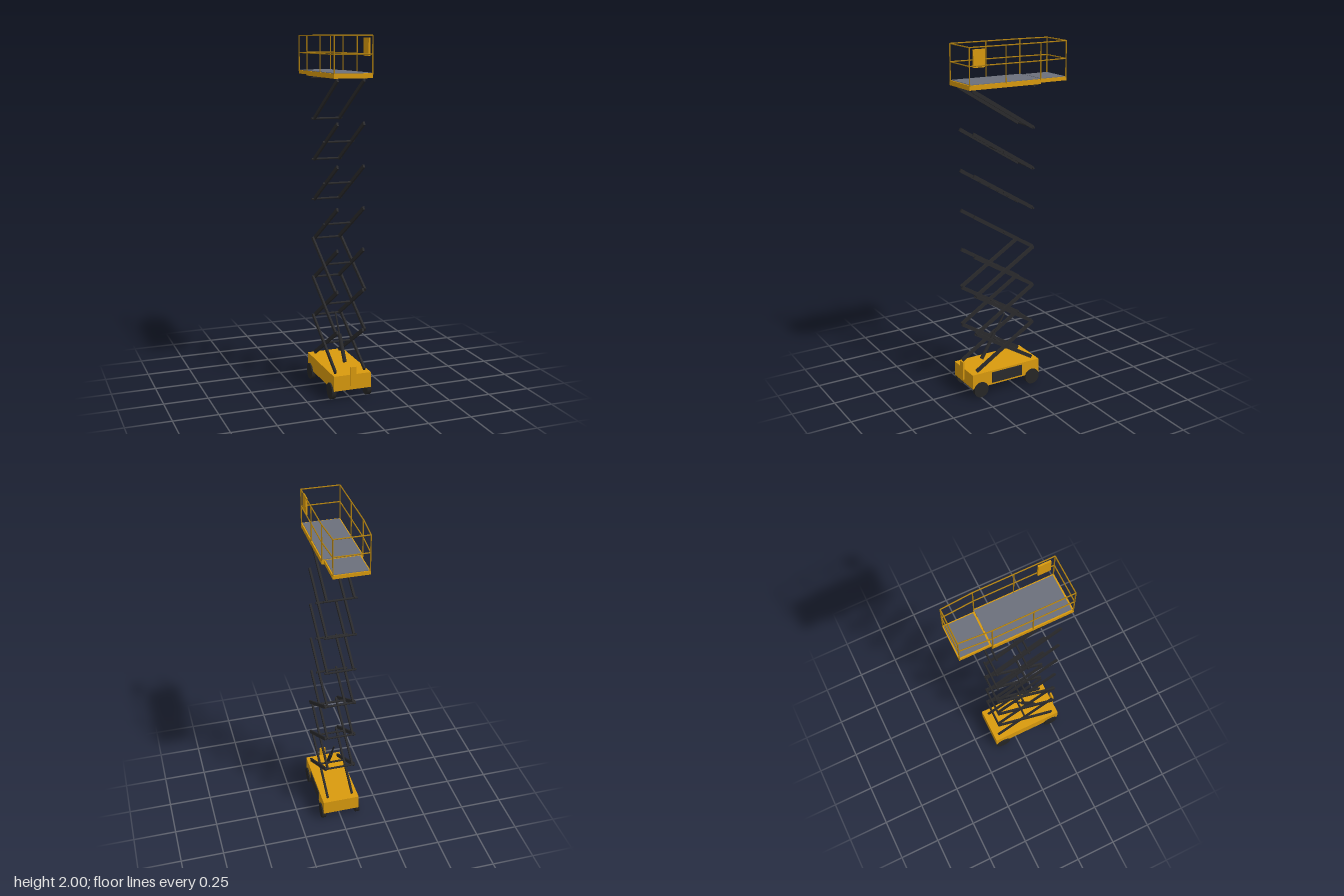
import * as THREE from 'three';

const mat = (name, color) => {
  const m = new THREE.MeshStandardMaterial({ color });
  m.name = name;
  return m;
};

export function createModel() {
  const yellow = mat('safety yellow', 0xd99a0e);
  const railGold = mat('rail gold', 0xb08010);
  const deckGrey = mat('deck grey', 0x6b707b);
  const steel = mat('dark steel', 0x2a2a2c);
  const rubber = mat('tyre black', 0x262626);

  const model = new THREE.Group();
  model.name = 'scissorLift';

  // Box given by its lower and upper limits
  const box = (parent, name, m, [x0, x1], [y0, y1], [z0, z1]) => {
    const mesh = new THREE.Mesh(new THREE.BoxGeometry(x1 - x0, y1 - y0, z1 - z0), m);
    mesh.position.set((x0 + x1) / 2, (y0 + y1) / 2, (z0 + z1) / 2);
    mesh.name = name;
    parent.add(mesh);
    return mesh;
  };
  // Round bar between two points
  const bar = (parent, name, m, a, b, r, sides = 8) => {
    const p = new THREE.Vector3(...a), q = new THREE.Vector3(...b);
    const d = q.clone().sub(p);
    const mesh = new THREE.Mesh(new THREE.CylinderGeometry(r, r, d.length(), sides), m);
    mesh.position.copy(p).add(q).multiplyScalar(0.5);
    mesh.quaternion.setFromUnitVectors(new THREE.Vector3(0, 1, 0), d.normalize());
    mesh.name = name;
    parent.add(mesh);
  };
  const group = (name) => {
    const g = new THREE.Group();
    g.name = name;
    model.add(g);
    return g;
  };

  // Chassis, front step and side hatch
  const base = group('base');
  box(base, 'chassis', yellow, [-0.11, 0.11], [0.06, 0.147], [-0.143, 0.3]);
  box(base, 'frontStep', yellow, [-0.018, 0.018], [0.085, 0.195], [0.304, 0.314]);
  box(base, 'sideHatch', steel, [0.108, 0.115], [0.072, 0.136], [-0.025, 0.174]);

  // Wheels
  for (const s of [-1, 1]) {
    for (const z of [0.247, -0.095]) {
      bar(base, 'wheel', rubber, [s * 0.094, 0.047, z], [s * 0.118, 0.047, z], 0.046, 28);
    }
  }

  // Scissor stack: inner arms on all levels, outer arms on the lower three
  const scissor = group('scissorStack');
  const zBack = -0.112, zFront = 0.262, y0 = 0.155, step = 0.23, levels = 7;
  const arm = (name, x, y, rise) => {
    const dz = zFront - zBack;
    const mesh = new THREE.Mesh(new THREE.BoxGeometry(0.011, 0.02, Math.hypot(dz, step)), steel);
    mesh.position.set(x, y + step / 2, (zFront + zBack) / 2);
    mesh.rotation.x = -rise * Math.atan2(step, dz);
    mesh.name = name;
    scissor.add(mesh);
  };
  for (let i = 0; i < levels; i++) {
    const y = y0 + i * step;
    for (const s of [-1, 1]) {
      arm('innerArm', s * 0.076, y, 1);
      if (i < 3) arm('outerArm', s * 0.087, y, -1);
    }
    const pin = (name, py, z) => bar(scissor, name, steel, [-0.092, py, z], [0.092, py, z], 0.006);
    pin('endPin', y + step, zBack);
    if (i < levels - 1) pin('centrePin', y + step / 2, (zFront + zBack) / 2);
  }

  // Hydraulic lift ram
  bar(scissor, 'ramBarrel', steel, [0, 0.18, 0.18], [0, 0.32, 0.094], 0.011, 16);
  bar(scissor, 'ramRod', steel, [0, 0.31, 0.1], [0, 0.432, 0.025], 0.005, 12);

  // Platform and extension deck, each with a grey floor plate
  const platform = group('platform');
  box(platform, 'mainDeck', yellow, [-0.11, 0.11], [1.775, 1.801], [-0.143, 0.3]);
  box(platform, 'mainFloor', deckGrey, [-0.103, 0.103], [1.8, 1.804], [-0.141, 0.291]);
  box(platform, 'extensionDeck', yellow, [-0.098, 0.098], [1.78, 1.8], [-0.315, -0.143]);
  box(platform, 'extensionFloor', deckGrey, [-0.091, 0.091], [1.799, 1.803], [-0.309, -0.151]);

  // Guard rails: one continuous outline, tapering along the extension
  const rails = group('guardRails');
  const side = [[0.108, 0.297], [0.108, 0.077], [0.108, -0.14], [0.096, -0.312]];
  const outline = [...side, ...side.map(([x, z]) => [-x, z]).reverse()];
  outline.forEach(([x, z], i) => {
    const [nx, nz] = outline[(i + 1) % outline.length];
    bar(rails, 'post', railGold, [x, 1.795, z], [x, 1.997, z], 0.0035);
    for (const y of [1.9, 1.9965]) {
      bar(rails, 'rail', railGold, [x, y, z], [nx, y, nz], 0.0035);
    }
  });

  // Control box hung on the rail
  box(rails, 'controlBox', yellow, [0.095, 0.105], [1.89, 1.985], [0.202, 0.272]);

  return model;
}
